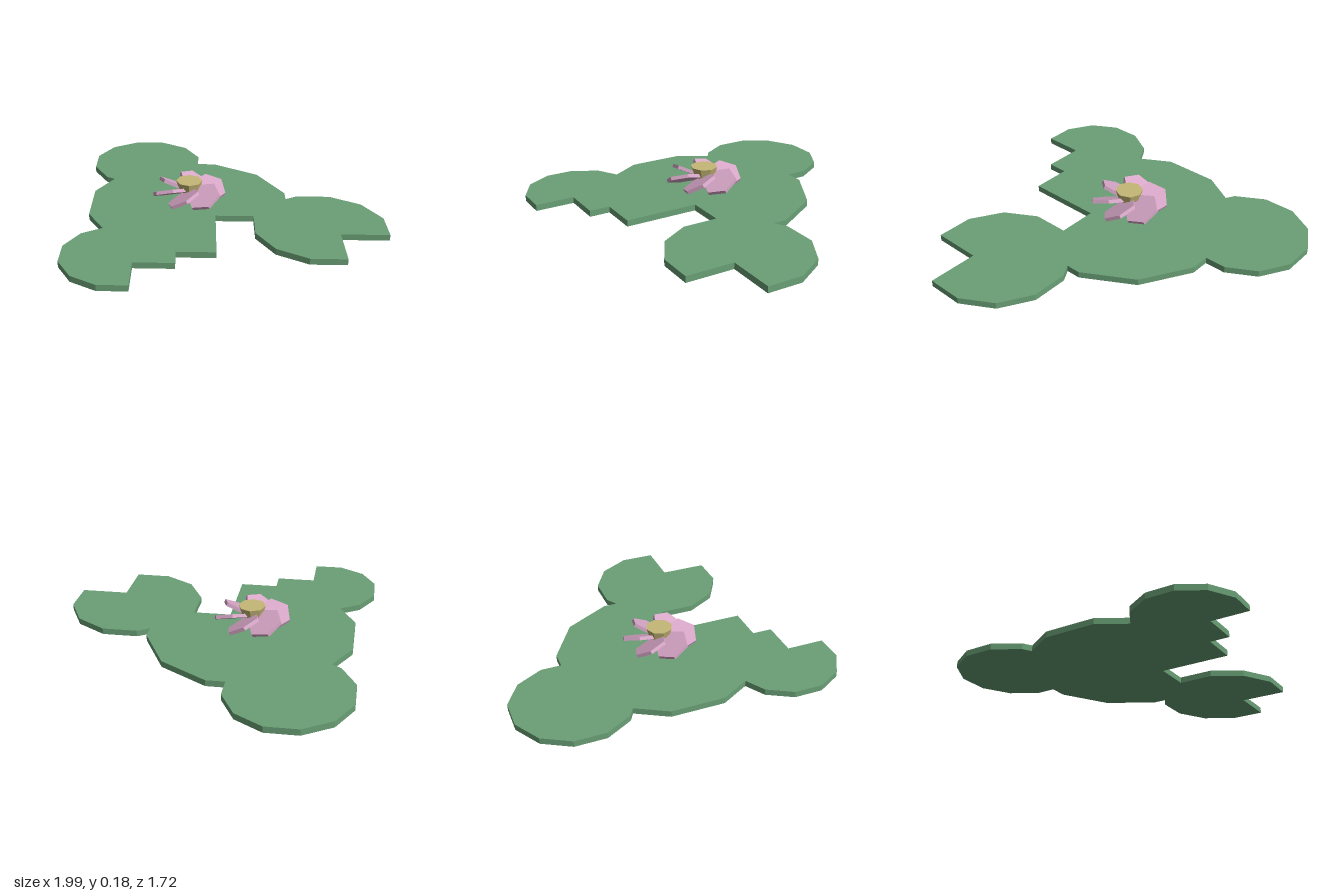
import * as THREE from 'three';

const flat = (color, name) => {
  const m = new THREE.MeshStandardMaterial({ color });
  m.name = name;
  return m;
};

// Twelve-sided pad with one corner folded inwards as a notch facing +x
function padGeometry(radius, thickness) {
  const points = [new THREE.Vector2(radius * 0.366, 0)];
  for (let i = 1; i < 12; i++) {
    const a = (i * Math.PI) / 6;
    points.push(new THREE.Vector2(Math.cos(a) * radius, Math.sin(a) * radius));
  }
  const geometry = new THREE.ExtrudeGeometry(new THREE.Shape(points), { depth: thickness, bevelEnabled: false });
  return geometry.rotateX(-Math.PI / 2);
}

export function createModel() {
  const model = new THREE.Group();
  model.name = 'waterLily';
  const green = flat(0x6aa076, 'leafGreen');
  const pink = flat(0xd8a7c8, 'petalPink');
  const yellow = flat(0xc6b876, 'pollenYellow');

  // Floating leaves: x, z, radius
  const pads = [
    ['mainPad', -0.04, -0.14, 0.59],
    ['leftPad', 0.66, -0.48, 0.38],
    ['rightPad', -0.66, -0.365, 0.34],
    ['frontPad', 0.13, 0.545, 0.313],
  ];
  for (const [name, x, z, radius] of pads) {
    const pad = new THREE.Mesh(padGeometry(radius, 0.035), green);
    pad.name = name;
    pad.position.set(x, 0, z);
    model.add(pad);
  }

  // Flower above the main pad
  const flower = new THREE.Group();
  flower.name = 'flower';
  flower.position.set(-0.04, 0.12, -0.14);
  model.add(flower);

  // Six hexagonal petals, each tilted sideways like a propeller blade
  const petalGeometry = new THREE.CylinderGeometry(0.1, 0.1, 0.02, 6).toNonIndexed();
  petalGeometry.computeVertexNormals();
  for (let i = 0; i < 6; i++) {
    const pivot = new THREE.Group();
    pivot.name = 'petalPivot';
    pivot.rotation.y = (i * Math.PI) / 3;
    const petal = new THREE.Mesh(petalGeometry, pink);
    petal.name = 'petal';
    petal.position.x = 0.118;
    petal.rotation.x = 0.5;
    pivot.add(petal);
    flower.add(pivot);
  }

  // Eight-sided flower centre
  const centreGeometry = new THREE.CylinderGeometry(0.076, 0.058, 0.06, 8).toNonIndexed();
  centreGeometry.computeVertexNormals();
  const centre = new THREE.Mesh(centreGeometry, yellow);
  centre.name = 'flowerCentre';
  centre.position.y = 0.033;
  flower.add(centre);

  return model;
}
